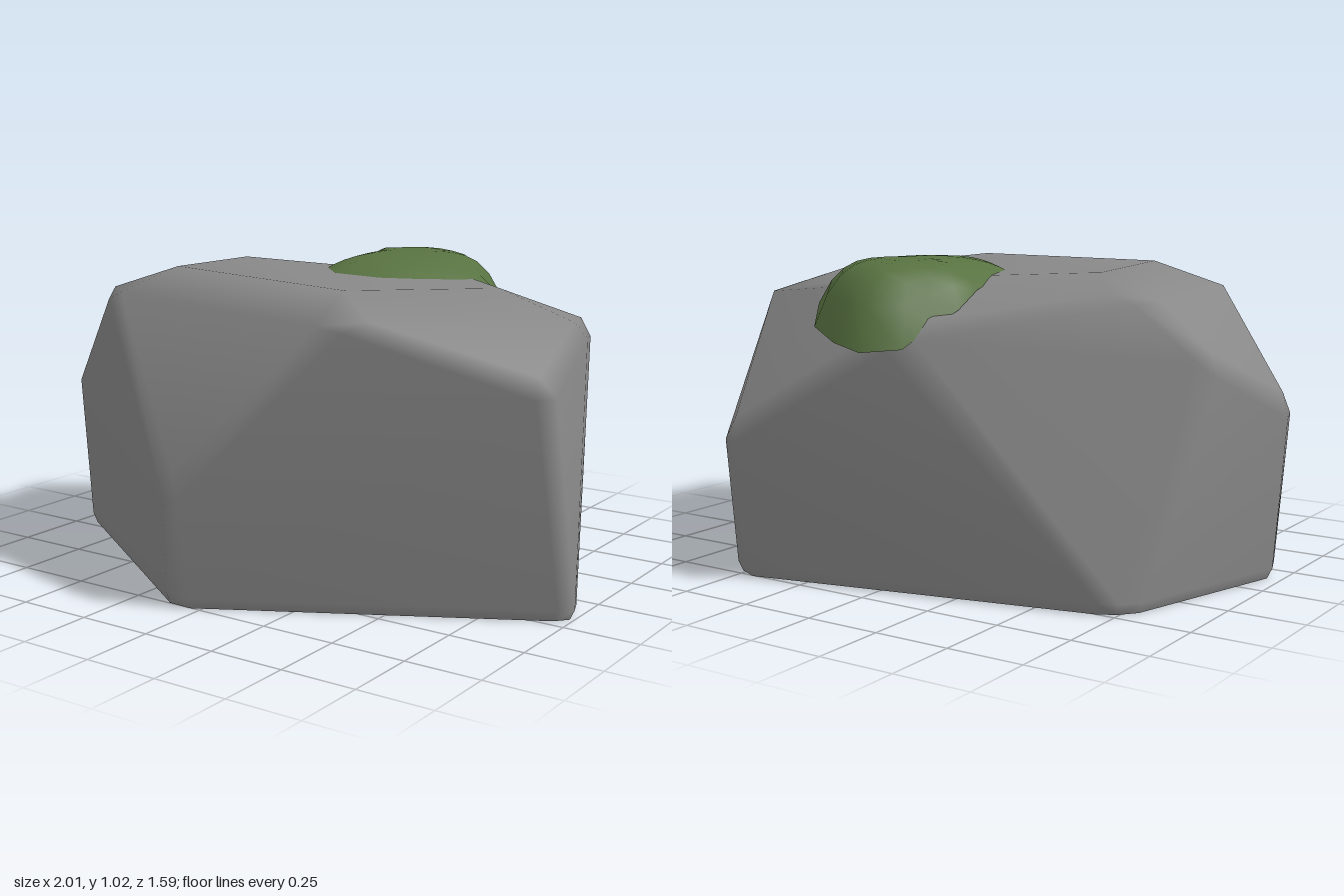
import * as THREE from 'three';
import { mergeVertices } from 'three/addons/utils/BufferGeometryUtils.js';
import { ConvexGeometry } from 'three/addons/geometries/ConvexGeometry.js';

const stone = new THREE.MeshStandardMaterial({ name: 'stone grey', color: 0x888888, side: THREE.DoubleSide });
const mossGreen = new THREE.MeshStandardMaterial({ name: 'moss green', color: 0x587241, side: THREE.DoubleSide });

// Sharp corners of the boulder
const corners = {
  frontBase: [-0.08, 0, 0.785], front: [-0.08, 0.37, 0.81],
  leftBase: [1.015, 0, 0.19], leftFront: [0.96, 0.73, 0.3], leftTop: [0.87, 0.885, -0.16],
  backBase: [0.5, 0, -0.775], back: [0.515, 0.47, -0.81],
  rightBackBase: [-0.78, 0, -0.49], rightBase: [-0.98, 0, 0.19], right: [-1.02, 0.55, 0.195],
  topRight: [-0.64, 0.95, 0.42], topLeft: [0.41, 0.935, 0.585],
  topRightBack: [-0.69, 0.94, -0.25], rightBack: [-0.9, 0.75, -0.18],
  topBack: [0.3, 0.94, -0.42], backRidge: [-0.05, 0.82, -0.67],
  // Flat crown, set in from the top edges
  crownRight: [-0.5, 0.995, 0.32], crownLeft: [0.33, 0.985, 0.45],
  crownSide: [0.62, 0.95, -0.13], crownBack: [-0.54, 0.985, -0.18],
};

// Facets as loops of corner names
const facets = [
  'frontBase leftBase leftFront topLeft front',
  'front topLeft topRight',
  'frontBase front topRight right rightBase',
  'leftBase leftTop leftFront',
  'leftFront leftTop topLeft',
  'leftBase backBase back leftTop',
  'back backRidge topBack leftTop',
  'backBase rightBackBase backRidge back',
  'rightBackBase rightBack topRightBack backRidge',
  'rightBackBase rightBase right rightBack',
  'right topRight topRightBack rightBack',
  'crownRight crownLeft crownSide topBack crownBack',
  'topBack backRidge topRightBack',
];

// Shrink each facet in its plane; the hull of all of them has bevelled edges
function boulderGeometry(bevel) {
  const points = [];
  for (const facet of facets) {
    const loop = facet.split(' ').map((n) => new THREE.Vector3(...corners[n]));
    loop.forEach((p, i) => {
      const q = p.clone();
      for (const step of [1, loop.length - 1]) {
        const toward = loop[(i + step) % loop.length].clone().sub(p).normalize();
        q.addScaledVector(toward, bevel);
      }
      if (p.y === 0) {
        // Small chamfer where the walls meet the ground
        points.push(new THREE.Vector3(q.x * 0.983, 0, q.z * 0.983));
        q.y = 0.035;
      }
      points.push(q);
    });
  }
  const hull = new ConvexGeometry(points).getAttribute('position');

  // Leave the underside open
  const kept = [];
  for (let i = 0; i < hull.count; i += 3) {
    if (Math.max(hull.getY(i), hull.getY(i + 1), hull.getY(i + 2)) < 0.001) continue;
    for (let j = i; j < i + 3; j++) kept.push(hull.getX(j), hull.getY(j), hull.getZ(j));
  }
  const open = new THREE.BufferGeometry();
  open.setAttribute('position', new THREE.Float32BufferAttribute(kept, 3));
  const smooth = mergeVertices(open, 0.001);
  smooth.computeVertexNormals();
  return smooth;
}

// Domed patch: rings growing from the crown out to an uneven rim
function mossGeometry() {
  const rim = [
    [0.0, 0.97, 0.02], [0.17, 0.965, 0.0], [0.28, 0.955, -0.1], [0.36, 0.94, -0.24],
    [0.39, 0.92, -0.37], [0.36, 0.87, -0.5], [0.28, 0.81, -0.62], [0.12, 0.78, -0.72],
    [0.0, 0.76, -0.745], [-0.11, 0.77, -0.68], [-0.14, 0.83, -0.56], [-0.2, 0.88, -0.51],
    [-0.18, 0.93, -0.38], [-0.16, 0.955, -0.25], [-0.12, 0.965, -0.1],
  ];
  const crown = [0.07, 1.022, -0.33];
  const rings = 8, n = rim.length;
  const position = [...crown], index = [];
  for (let r = 1; r <= rings; r++) {
    const f = r / rings;
    for (const [x, y, z] of rim) {
      // Gentle fall towards the front, steep fall over the back
      const power = z < -0.45 ? 5 : 3;
      position.push(
        crown[0] + (x - crown[0]) * f,
        crown[1] + (y - crown[1]) * f ** power,
        crown[2] + (z - crown[2]) * f,
      );
    }
    for (let i = 0; i < n; i++) {
      const a = 1 + (r - 1) * n + i, b = 1 + (r - 1) * n + ((i + 1) % n);
      if (r === 1) index.push(0, a, b);
      else index.push(a - n, a, b, a - n, b, b - n);
    }
  }
  const geometry = new THREE.BufferGeometry();
  geometry.setAttribute('position', new THREE.Float32BufferAttribute(position, 3));
  geometry.setIndex(index);
  geometry.computeVertexNormals();
  return geometry;
}

export function createModel() {
  const group = new THREE.Group();
  group.name = 'mossyBoulder';
  const boulder = new THREE.Mesh(boulderGeometry(0.05), stone);
  boulder.name = 'boulder';
  const moss = new THREE.Mesh(mossGeometry(), mossGreen);
  moss.name = 'mossPatch';
  group.add(boulder, moss);
  return group;
}
